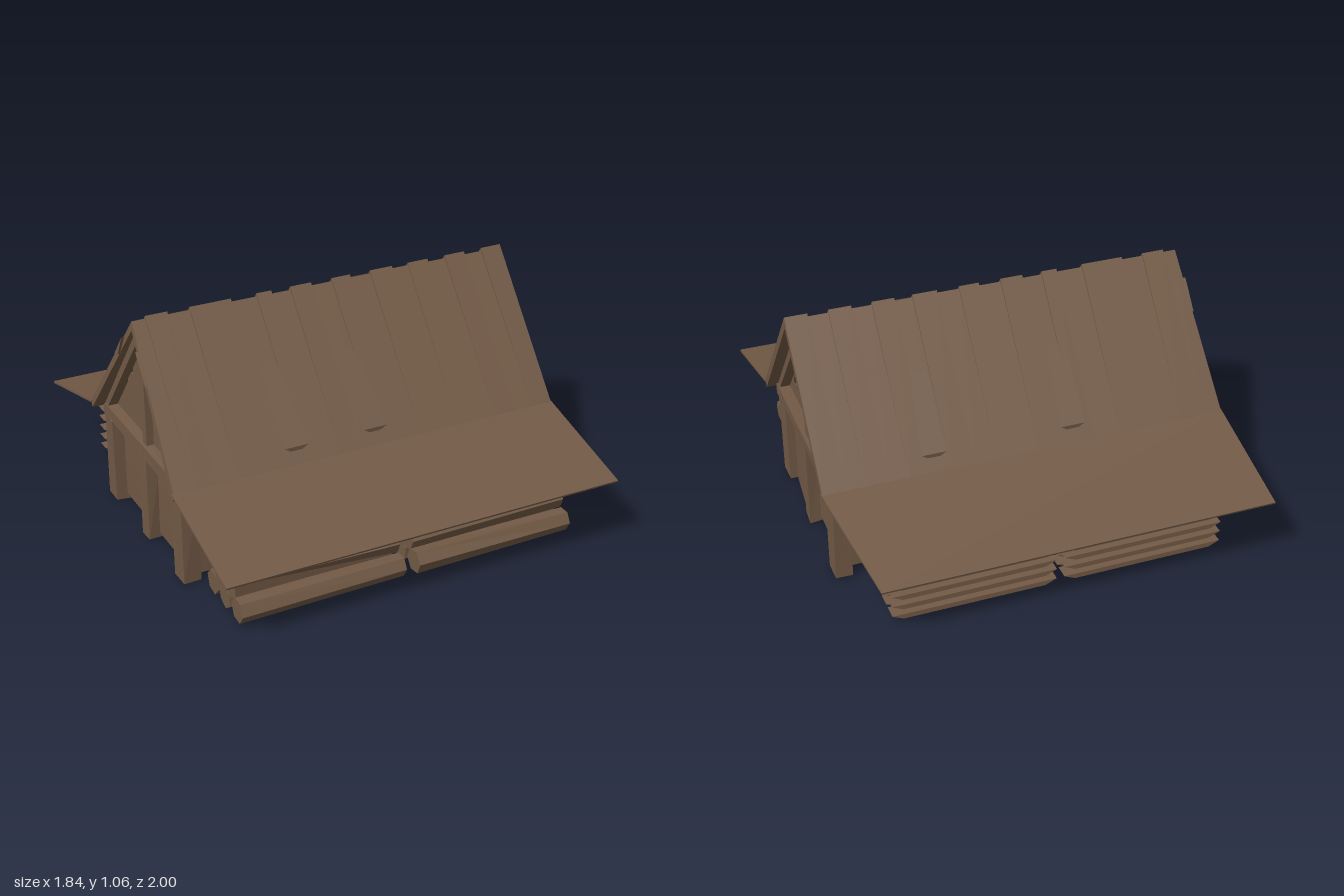
import * as THREE from 'three';

const wood = new THREE.MeshStandardMaterial({ color: 0x735a46 });

let seed = 7;
const rnd = () => (seed = (seed * 16807) % 2147483647) / 2147483647;
const wob = (a) => (rnd() - 0.5) * 2 * a;

// faceted mesh
function add(parent, name, geo) {
  const g = geo.index ? geo.toNonIndexed() : geo;
  g.computeVertexNormals();
  const m = new THREE.Mesh(g, wood);
  m.name = name;
  parent.add(m);
  return m;
}

// move every vertex by a rule, so shared corners stay together
function bend(geo, rule) {
  const p = geo.attributes.position, v = new THREE.Vector3();
  for (let i = 0; i < p.count; i++) {
    rule(v.fromBufferAttribute(p, i));
    p.setXYZ(i, v.x, v.y, v.z);
  }
  return geo;
}

// box between two corners, with roughly hewn corners
function hewn(x0, x1, y0, y1, z0, z1, a = 0.004) {
  const g = new THREE.BoxGeometry(x1 - x0, y1 - y0, z1 - z0);
  const shift = {};
  bend(g, (v) => {
    const k = [v.x > 0, v.y > 0, v.z > 0].join();
    const s = (shift[k] ??= [wob(a), wob(a), wob(a)]);
    v.x += s[0]; v.y += s[1]; v.z += s[2];
  });
  return g.translate((x0 + x1) / 2, (y0 + y1) / 2, (z0 + z1) / 2);
}

// [z, y] outline pushed along x
function prism(points, x0, x1, hole) {
  const toV = ([z, y]) => new THREE.Vector2(-z, y);
  const s = new THREE.Shape(points.map(toV));
  if (hole) s.holes.push(new THREE.Path(hole.map(toV)));
  const g = new THREE.ExtrudeGeometry(s, { depth: x1 - x0, bevelEnabled: false });
  return g.rotateY(Math.PI / 2).translate(x0, 0, 0);
}

const RIDGE = 1.045, EAVE = 0.47, HALF = 0.48;
const roofY = (z) => RIDGE - (Math.abs(z) / HALF) * (RIDGE - EAVE);

function buildRoof(root) {
  const roof = new THREE.Group();
  roof.name = 'roof';
  root.add(roof);
  // board joints along the ridge; odd boards rise a little toward the ridge
  const xs = [-0.88, -0.82, -0.72, -0.62, -0.43, -0.31, -0.24, -0.15, -0.05, 0.05,
    0.14, 0.24, 0.35, 0.43, 0.53, 0.62, 0.72, 0.81, 0.91];
  for (const s of [-1, 1]) {
    for (let i = 0; i < xs.length - 1; i++) {
      const lift = i % 2 ? 0.014 : wob(0.003);
      const e = HALF + 0.005 + wob(0.006);
      const y = roofY(e);
      const g = prism([[0, RIDGE + lift], [s * e, y], [s * (e - 0.02), y - 0.025],
        [0, RIDGE - 0.04]], xs[i], xs[i + 1]);
      // left-hand verge flares toward the eave
      bend(g, (v) => { if (v.x < -0.87) v.x -= 0.035 * (RIDGE - v.y) / (RIDGE - EAVE); });
      add(roof, 'roofBoard', g);
    }
    // ragged splinters on the verge
    for (let i = 0; i < 3; i++) {
      const z = 0.08 + i * 0.09;
      add(roof, 'vergeSplinter', prism([[s * z, roofY(z) - 0.005], [s * (z + 0.1), roofY(z + 0.1) - 0.005],
        [s * (z + 0.05), roofY(z + 0.05) - 0.045]], -0.9 + 0.008 * i, -0.86));
    }
    // lifted board ends
    for (const x of s > 0 ? [-0.34, 0.035] : [-0.22, 0.41]) {
      const at = (dx, z, up) => [x + dx, roofY(z) + up, s * z];
      const a = at(-0.055, 0.44, 0.02), b = at(0.055, 0.44, 0.02);
      const c = at(0, 0.437, -0.02), d = at(-0.05, 0.2, 0.004), e = at(0.03, 0.2, 0.004);
      const tris = [[a, c, b], [a, b, e], [a, e, d], [a, d, c], [b, c, e]];
      if (s < 0) tris.forEach((t) => t.reverse());
      const g = new THREE.BufferGeometry();
      g.setAttribute('position', new THREE.Float32BufferAttribute(tris.flat(2), 3));
      add(roof, 'liftedBoard', g);
    }
    // awning sheet over the stacked timber
    const awning = prism([[s * 0.465, 0.476], [s * 1.0, 0.333], [s * 0.997, 0.324], [s * 0.465, 0.466]],
      -0.92, 0.915);
    if (s < 0) bend(awning, (v) => { if (v.z < -0.9 && v.x > 0) v.x = 0.82; });
    add(roof, s > 0 ? 'frontAwning' : 'backAwning', awning);
  }
}

function buildHouse(root) {
  const house = new THREE.Group();
  house.name = 'house';
  root.add(house);
  // long walls of horizontal boards
  const rows = [0.03, 0.125, 0.215, 0.31, 0.41];
  for (const s of [-1, 1]) {
    for (let i = 0; i < 4; i++) {
      const z = s * 0.4, cut = wob(0.4);
      add(house, 'wallBoard', hewn(-0.81, cut, rows[i], rows[i + 1], z - 0.015, z + 0.015, 0.0015));
      add(house, 'wallBoard', hewn(cut, 0.81, rows[i], rows[i + 1], z - 0.015, z + 0.015, 0.0015));
    }
    add(house, 'wallPlate', hewn(-0.84, 0.84, 0.4, 0.455, s * 0.43 - 0.03, s * 0.43 + 0.03));
    add(house, 'middlePost', hewn(-0.03, 0.03, 0.01, 0.42, s * 0.415 - 0.03, s * 0.415 + 0.03));
  }
  add(house, 'ceiling', hewn(-0.81, 0.81, 0.4, 0.415, -0.4, 0.4, 0));

  // gable ends
  for (const s of [-1, 1]) {
    const span = (a, b) => (s > 0 ? [a, b] : [-b, -a]);
    const piece = (name, a, b, ...r) => add(house, name, hewn(...span(a, b), ...r));
    for (let i = 0; i < 4; i++) piece('endBoard', 0.785, 0.815, rows[i], rows[i + 1], -0.4, 0.4, 0.0015);
    piece('cornerPost', 0.79, 0.865, 0.004, 0.41, 0.33, 0.43);
    piece('cornerPost', 0.79, 0.865, 0.004, 0.41, -0.45, -0.35);
    piece('doorPost', 0.8, 0.865, 0.008, 0.41, -0.035, 0.045);
    piece('crossBeam', 0.79, 0.865, 0.4, 0.46, -0.46, 0.46);
    piece('kingPost', 0.8, 0.85, 0.45, 0.98, -0.02, 0.02, 0.003);
    const hole = s > 0 ? [[0.32, 0.545], [0.285, 0.6], [0.23, 0.515]] : undefined;
    add(house, 'gableWall', prism([[-0.45, 0.44], [0.45, 0.44], [0, 0.99]], ...span(0.785, 0.815), hole));
    // thin overlapping gable boards
    for (let i = 0; i < 4; i++) {
      const y = 0.62 + i * 0.09, w = (0.96 - y) * 0.8;
      piece('gableBoard', 0.8, 0.82, y, y + 0.09, 0.03 - w, w - 0.03, 0.002);
    }
    // sloping rafters under the verge
    for (const k of [-1, 1]) {
      add(house, 'rafter', prism([[0, 1.01], [k * 0.455, 0.46], [k * 0.41, 0.46], [0, 0.95]], ...span(0.79, 0.86)));
    }
  }
  // door, slightly out of square
  const door = prism([[0.285, 0.03], [0.285, 0.375], [0.055, 0.365], [0.08, 0.035]], 0.812, 0.835);
  add(house, 'door', bend(door, (v) => { if (v.z < 0.1) v.x += 0.02; }));
}

// rough hexagonal logs in two pyramids, each tapered and slightly twisted
function buildLogs(root) {
  const logs = new THREE.Group();
  logs.name = 'logPile';
  root.add(logs);
  const spots = [[0.8, 0.072], [0.68, 0.07], [0.56, 0.07], [0.738, 0.155], [0.615, 0.16], [0.672, 0.232]];
  for (const x of [-0.41, 0.41]) {
    spots.forEach(([z, y], i) => {
      const g = new THREE.CylinderGeometry(0.056, 0.05, 0.76, 6);
      const twist = new THREE.Vector3(0, 1, 0), turn = wob(0.35);
      bend(g, (v) => { if (v.y > 0) v.applyAxisAngle(twist, turn); });
      g.rotateY(i * 0.4).rotateZ(Math.PI / 2).translate(x, y, z);
      add(logs, 'log', g);
    });
  }
}

// spaced planks in two stacks, ends cut back underneath
function buildPlanks(root) {
  const stack = new THREE.Group();
  stack.name = 'plankStack';
  root.add(stack);
  for (const x of [-0.4, 0.365])
    for (let c = 0; c < 4; c++)
      for (let r = 0; r < 6; r++) {
        const g = new THREE.BoxGeometry(0.73, 0.023, 0.066);
        bend(g, (v) => { if (v.y < 0) v.x -= Math.sign(v.x) * 0.05; });
        add(stack, 'plank', g.translate(x, 0.036 + r * 0.0495, -0.537 - c * 0.0845));
      }
}

export function createModel() {
  const root = new THREE.Group();
  root.name = 'timberStore';
  buildHouse(root);
  buildRoof(root);
  buildLogs(root);
  buildPlanks(root);
  return root;
}
